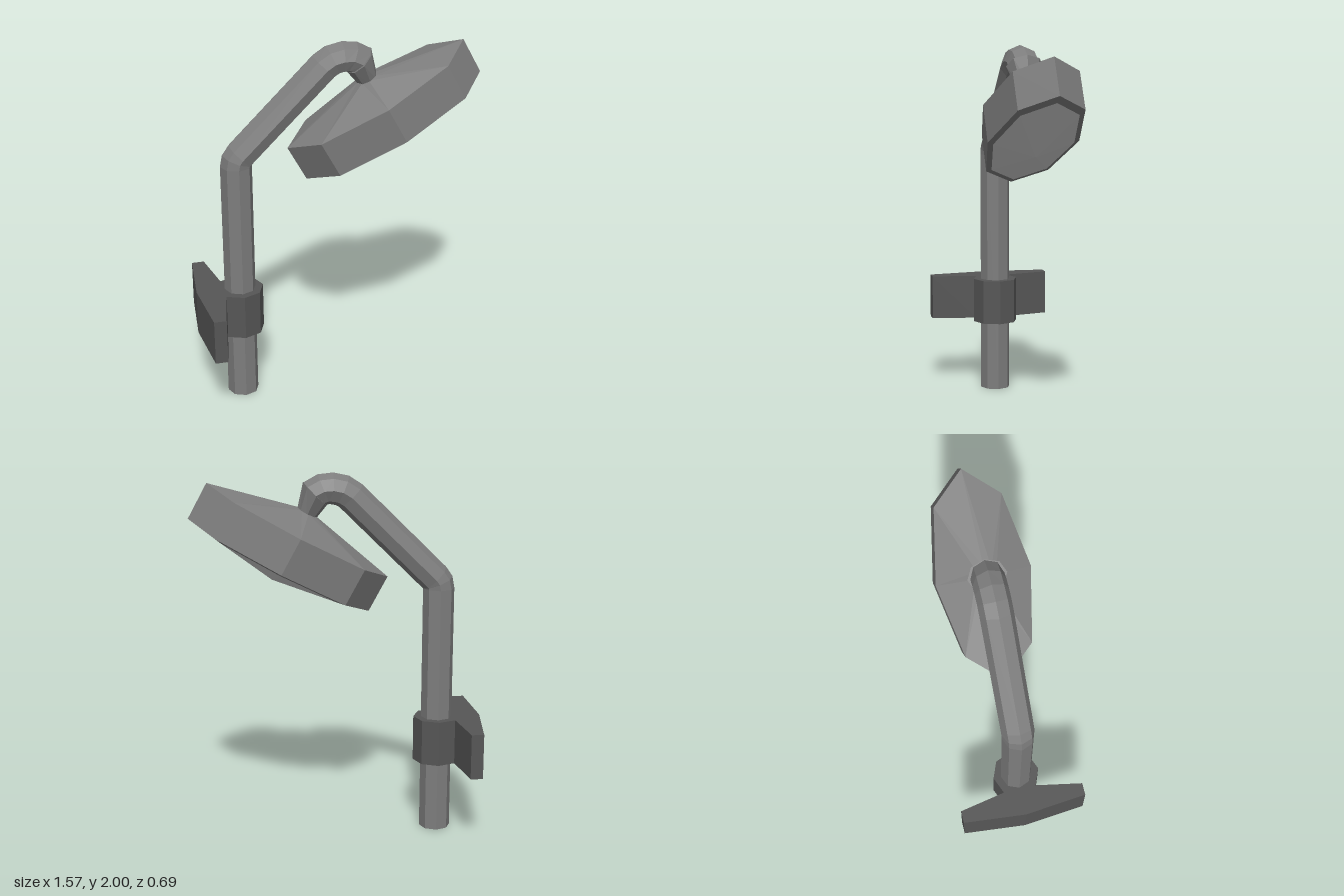
import * as THREE from 'three';

const SIDES = 8;
const deg = Math.PI / 180;
const paint = (color) => new THREE.MeshStandardMaterial({ color, flatShading: true });
const metal = paint(0x7d7d7d);
const darkPlastic = paint(0x565656);
const paleFace = paint(0xf8f8f8);

// Skins octagonal sections [x, y, tilt in degrees, radius in the xy plane, radius in z]
function loft(name, material, sections) {
  const pos = [];
  const idx = [];
  for (const [x, y, tilt, ru, rz = ru] of sections) {
    for (let j = 0; j < SIDES; j++) {
      const a = (j / SIDES) * Math.PI * 2;
      const u = ru * Math.cos(a);
      pos.push(x + u * Math.cos(tilt * deg), y + u * Math.sin(tilt * deg), rz * Math.sin(a));
    }
  }
  for (let i = 0; i < sections.length - 1; i++) {
    for (let j = 0; j < SIDES; j++) {
      const k = (j + 1) % SIDES;
      const a = i * SIDES + j, b = i * SIDES + k;
      const c = a + SIDES, d = b + SIDES;
      // sections of zero radius are points, so one triangle is enough there
      if (sections[i + 1][3] > 0) idx.push(a, c, d);
      if (sections[i][3] > 0) idx.push(a, d, b);
    }
  }
  const geometry = new THREE.BufferGeometry();
  geometry.setAttribute('position', new THREE.Float32BufferAttribute(pos, 3));
  geometry.setIndex(idx);
  geometry.computeVertexNormals();
  const mesh = new THREE.Mesh(geometry, material);
  mesh.name = name;
  return mesh;
}

export function createModel() {
  const model = new THREE.Group();
  model.name = 'showerHeadOnPipe';

  // Upright pipe with two bends
  const r = 0.085;
  model.add(loft('pipe', metal, [
    [-0.545, 0, 0, 0],
    [-0.545, 0, 0, r],
    [-0.545, 1.37, 0, r],
    [-0.539, 1.402, -22, r],
    [-0.523, 1.425, -45, r],
    [-0.07, 1.875, -45, r],
    [-0.025, 1.904, -67, r],
    [0.025, 1.915, -90, r],
    [0.075, 1.912, -112, r],
    [0.12, 1.89, -135, r],
    [0.12, 1.89, -135, 0],
  ]));

  // Tapered neck between pipe and head
  model.add(loft('neck', metal, [
    [0.12, 1.89, -136, 0],
    [0.12, 1.89, -136, 0.088, 0.1],
    [0.17, 1.773, -151.6, 0.053],
  ]));

  // Head: long octagon tilted down, sections placed along its axis
  const tilt = -151.6;
  const along = (h, ru, rz) =>
    [0.311 - Math.sin(tilt * deg) * h, 1.5075 + Math.cos(tilt * deg) * h, tilt, ru, rz];
  model.add(loft('headShell', metal, [
    along(-0.322, 0, 0),
    along(-0.322, 0.053, 0.053),
    along(-0.213, 0.5425, 0.245),
    along(0, 0.5425, 0.245),
    along(0.01, 0.485, 0.217),
  ]));
  model.add(loft('headFace', paleFace, [
    along(0.01, 0.485, 0.217),
    along(0.087, 0, 0),
  ]));

  // Wall bracket: winged plate merging into an octagonal collar
  const half = [
    [-0.785, 0], [-0.752, 0.343], [-0.685, 0.343], [-0.637, 0.09],
    [-0.545, 0.127], [-0.455, 0.09], [-0.418, 0],
  ];
  const mirrored = half.slice(1, -1).reverse().map(([x, z]) => [x, -z]);
  const outline = [...half, ...mirrored].map(([x, z]) => new THREE.Vector2(x, z));
  const bracketGeometry = new THREE.ExtrudeGeometry(new THREE.Shape(outline), {
    depth: 0.25, bevelEnabled: false,
  });
  bracketGeometry.rotateX(-Math.PI / 2);
  const bracket = new THREE.Mesh(bracketGeometry, darkPlastic);
  bracket.name = 'wallBracket';
  bracket.position.y = 0.395;
  model.add(bracket);

  return model;
}
